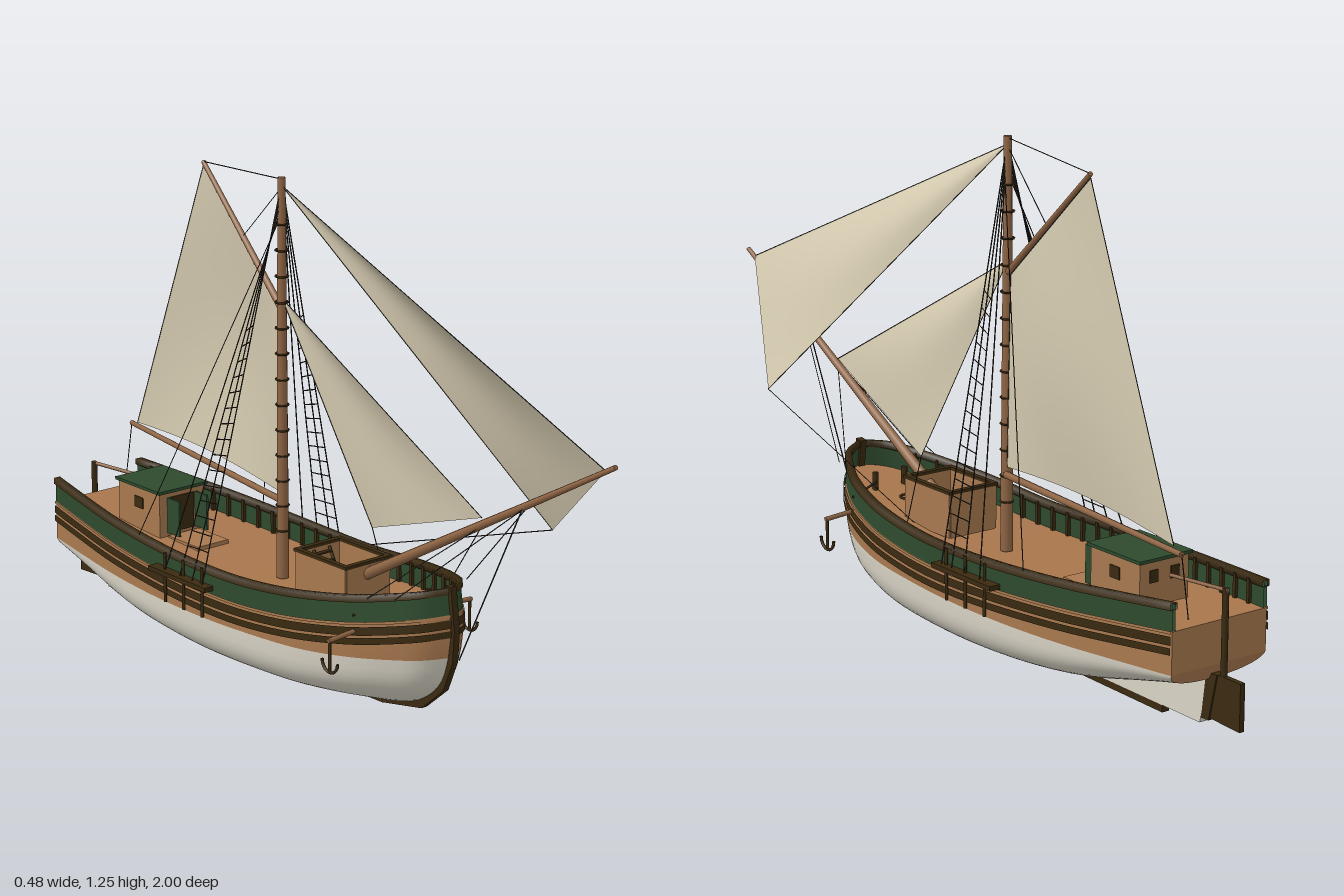
import * as THREE from 'three';

const mat = (name, color, side = THREE.DoubleSide) => {
  const m = new THREE.MeshStandardMaterial({ color, side });
  m.name = name;
  return m;
};
const V = (x, y, z) => new THREE.Vector3(x, y, z);

// Smooth function of one variable through [x, y] points
function spline(pts) {
  const n = pts.length - 1;
  const slope = i => {
    const a = pts[Math.max(i - 1, 0)], b = pts[Math.min(i + 1, n)];
    return (b[1] - a[1]) / (b[0] - a[0]);
  };
  return x => {
    let i = 0;
    while (i < n - 1 && x > pts[i + 1][0]) i++;
    const [x0, y0] = pts[i], [x1, y1] = pts[i + 1], h = x1 - x0;
    const t = Math.min(Math.max((x - x0) / h, 0), 1), s = 1 - t;
    return y0 * (1 + 2 * t) * s * s + slope(i) * h * t * s * s + y1 * t * t * (3 - 2 * t) - slope(i + 1) * h * t * t * s;
  };
}

// Surface from a point function of (s, t)
function grid(fn, ns, nt) {
  const pos = [], idx = [];
  for (let i = 0; i <= ns; i++) for (let j = 0; j <= nt; j++) {
    pos.push(...fn(i / ns, j / nt).toArray());
    if (i < ns && j < nt) {
      const a = i * (nt + 1) + j, b = a + nt + 1;
      idx.push(a, b, a + 1, b, b + 1, a + 1);
    }
  }
  const g = new THREE.BufferGeometry();
  g.setAttribute('position', new THREE.Float32BufferAttribute(pos, 3));
  g.setIndex(idx);
  g.computeVertexNormals();
  return g;
}

export function createModel() {
  const root = new THREE.Group();
  root.name = 'sailingBoat';
  const tan = mat('plankWood', 0xa9794f), deckMat = mat('deckWood', 0xa8764c), green = mat('greenPaint', 0x2e4a2e);
  const dark = mat('darkWood', 0x3a2a10), white = mat('bottomPaint', 0xd9d4c6), cloth = mat('sailCloth', 0xd2c8ae);
  const spar = mat('sparWood', 0x8f6544), rope = mat('rope', 0x2b2721);

  const add = (name, geo, m, parent = root) => {
    const mesh = new THREE.Mesh(geo, m);
    mesh.name = name;
    parent.add(mesh);
    return mesh;
  };
  const rod = (name, a, b, r, m, r2 = r, sides = 6) => {
    const mesh = add(name, new THREE.CylinderGeometry(r2, r, a.distanceTo(b), sides), m);
    mesh.position.copy(a).lerp(b, 0.5);
    mesh.quaternion.setFromUnitVectors(V(0, 1, 0), b.clone().sub(a).normalize());
    return mesh;
  };
  const box = (name, w, h, d, x, y, z, m) => {
    const mesh = add(name, new THREE.BoxGeometry(w, h, d), m);
    mesh.position.set(x, y, z);
    return mesh;
  };
  // Side profile in (z, y), extruded across x
  const slab = (name, pts, width, m) => {
    const s = new THREE.Shape(pts.map(p => new THREE.Vector2(...p)));
    const g = new THREE.ExtrudeGeometry(s, { depth: width, bevelEnabled: false });
    return add(name, g.translate(0, 0, -width / 2).rotateY(-Math.PI / 2), m);
  };

  // Hull lines: u runs from the transom (0) to the stem (1)
  const beam = spline([[0, .14], [.085, .16], [.227, .19], [.37, .207], [.51, .212], [.65, .203], [.76, .187], [.865, .148], [.936, .1], [.975, .06], [1, 0]]);
  const rail = spline([[0, .335], [.25, .31], [.5, .295], [.65, .298], [.85, .33], [1, .37]]);
  const water = spline([[0, .17], [.4, .16], [.75, .17], [1, .2]]);
  const floor = spline([[0, .13], [.1, .1], [.25, .06], [.4, .04], [.6, .03], [1, .03]]);
  const full = spline([[0, 2.2], [.35, 3], [.75, 3], [1, 2.2]]);
  const stemZ = spline([[.03, .25], [.04, .31], [.06, .38], [.12, .455], [.2, .487], [.27, .495], [.37, .482]]);
  const ease = t => 1 - Math.pow(1 - t, 1.7);
  const at = (side, u, h, w) => {
    const z0 = -.92 + Math.max(0, .17 - h(0)) * .5;
    return V(side * w, h(u), z0 + u * (stemZ(h(1)) - z0));
  };
  const below = d => u => rail(u) - d;
  const deckLine = below(.062);
  const band = (name, top, bottom, out, m) => {
    for (const side of [1, -1]) add(name, grid((s, t) => {
      const u = ease(s), h = v => top(v) + (bottom(v) - top(v)) * t;
      return at(side, u, h, Math.max(0, beam(u) + out));
    }, 40, 2), m);
  };
  band('greenBulwark', below(0), deckLine, 0, green);
  band('bulwarkLining', below(0), deckLine, -.009, green);
  band('topPlanking', deckLine, water, 0, tan);
  band('upperWale', below(.072), below(.093), .005, dark);
  band('lowerWale', below(.099), below(.116), .005, dark);
  band('rubbingStrip', below(.06), below(.067), .004, tan);
  const bilge = (u, a) => {
    const e = 2 / full(u), k = 1 - Math.pow(Math.max(0, Math.cos(a)), e);
    return { h: v => floor(v) + (water(v) - floor(v)) * k, w: beam(u) * Math.pow(Math.sin(a), e) };
  };
  for (const side of [1, -1]) {
    add('hullBottom', grid((s, t) => {
      const u = ease(s), b = bilge(u, t * Math.PI / 2);
      return at(side, u, b.h, b.w);
    }, 40, 14), white);
    // Rail cap with a flat top
    add('railCap', grid((s, t) => {
      const u = ease(s), c = [[.006, .012], [.006, -.004], [-.014, -.004], [-.014, .012]][Math.round(t * 4) % 4];
      return at(side, u, below(c[1]), Math.max(0, beam(u) + c[0]));
    }, 40, 4), dark);
    // Bulwark stanchions
    for (let i = 1; i < 24; i++) {
      const u = i / 25, p = at(side, u, below(.032), beam(u) - .013);
      box('stanchion', .009, .06, .009, p.x, p.y, p.z, dark);
    }
  }
  add('deck', grid((s, t) => at(1, ease(s), deckLine, beam(ease(s)) * (2 * t - 1)), 40, 2), deckMat);
  add('transomLower', grid((s, t) => {
    const b = bilge(0, s * Math.PI / 2);
    return at(1, 0, b.h, b.w * (2 * t - 1));
  }, 12, 1), tan);
  add('transomUpper', grid((s, t) => at(1, 0, v => water(v) + (deckLine(v) - water(v)) * s, .14 * (2 * t - 1)), 1, 1), tan);

  // Stem, keel, skeg and rudder
  slab('stem', [[.488, .378], [.502, .27], [.497, .19], [.465, .11], [.39, .045], [.25, .018], [.25, .035], [.37, .065], [.44, .12], [.475, .2], [.48, .27], [.465, .375]], .018, dark);
  slab('keel', [[.25, .036], [.25, .018], [-.74, 0], [-.74, .03]], .02, dark);
  slab('skeg', [[-.2, .045], [-.2, .025], [-.87, .016], [-.9, .16], [-.8, .15]], .02, white);
  slab('sternPost', [[-.875, .03], [-.9, .03], [-.925, .145], [-.89, .145]], .022, dark);
  slab('rudder', [[-.9, .035], [-1, .03], [-1, .145], [-.925, .145]], .014, dark);
  rod('rudderStock', V(0, .1, -.937), V(0, .352, -.937), .008, dark);
  rod('tiller', V(0, .348, -.945), V(.027, .346, -.78), .005, spar);

  // Deckhouse with open doors
  box('deckhouseWalls', .145, .13, .175, 0, .302, -.64, tan);
  box('deckhouseRoof', .158, .008, .19, 0, .37, -.64, green);
  box('doorway', .075, .095, .004, 0, .305, -.551, dark);
  box('companionSlide', .1, .012, .125, 0, .245, -.485, tan);
  for (const x of [-.045, .045]) {
    box('openDoor', .006, .095, .05, x, .305, -.527, green);
    box('aftWindow', .025, .03, .004, x * .7, .33, -.728, dark);
    box('sideWindow', .004, .03, .035, Math.sign(x) * .073, .325, -.64, dark);
  }

  // Cargo hatch coaming with a ladder inside
  for (const s of [1, -1]) {
    box('hatchSide', .01, .115, .185, s * .068, .3, .09, tan);
    box('hatchEnd', .136, .115, .01, 0, .3, .09 + s * .09, tan);
    box('hatchTrimSide', .014, .008, .195, s * .068, .358, .09, dark);
    box('hatchTrimEnd', .146, .008, .014, 0, .358, .09 + s * .09, dark);
    rod('ladderRail', V(s * .025, .25, .065), V(s * .025, .35, .01), .004, dark);
  }
  for (let i = 0; i < 5; i++) box('ladderRung', .05, .004, .012, 0, .26 + i * .02, .06 - i * .011, dark);

  // Foredeck fittings
  add('mooringRing', new THREE.TorusGeometry(.02, .003, 6, 16).rotateX(Math.PI / 2), dark).position.set(0, .272, .27);
  for (const s of [1, -1]) {
    rod('bollard', V(s * .045, .26, .35), V(s * .045, .325, .35), .008, dark);
    rod('cathead', V(s * .14, .252, .305), V(s * .23, .245, .305), .006, spar);
    rod('anchorShank', V(s * .225, .25, .305), V(s * .225, .165, .305), .004, dark);
    const arms = add('anchorArms', new THREE.TorusGeometry(.028, .004, 6, 10, Math.PI), dark);
    arms.position.set(s * .225, .193, .305);
    arms.rotation.set(Math.PI, Math.PI / 2, 0);
    rod('anchorCable', V(s * .15, .29, .3), V(s * .045, .3, .345), .003, rope);
  }

  // Spars
  rod('mast', V(0, .235, -.14), V(0, 1.255, -.14), .016, spar, .01, 12);
  rod('bowsprit', V(0, .3, .13), V(0, .79, 1), .015, spar, .006, 10);
  rod('boom', V(.01, .43, -.15), V(.112, .445, -.915), .009, spar, .007, 8);
  rod('gaff', V(.004, .93, -.15), V(.06, 1.228, -.522), .009, spar, .006, 8);
  for (let i = 0; i < 13; i++) {
    const hoop = add('mastHoop', new THREE.TorusGeometry(.016, .0025, 5, 12).rotateX(Math.PI / 2), dark);
    hoop.position.set(0, .36 + i * .065, -.14);
  }

  // Sails: four corners (two may coincide), a belly and an arched foot
  const line = (a, b, r = .0013) => rod('riggingLine', a, b, r, rope, r, 4);
  const sail = (name, c, belly, arch) => {
    add(name, grid((s, t) => {
      const p = c[0].clone().lerp(c[1], s).lerp(c[3].clone().lerp(c[2], s), t);
      p.x += belly * Math.sin(Math.PI * s) * Math.sin(Math.PI * t);
      p.y += arch * Math.sin(Math.PI * s) * (1 - t);
      return p;
    }, 16, 16), cloth);
    for (const i of [1, 2, 3]) if (c[i].distanceTo(c[(i + 1) % 4]) > .01) line(c[i], c[(i + 1) % 4]);
  };
  const mastTop = V(0, 1.235, -.14), jibClew = V(.19, .51, .62), stayClew = V(.06, .42, .13);
  sail('mainsail', [V(.01, .45, -.155), V(.105, .455, -.88), V(.058, 1.218, -.52), V(.004, .925, -.158)], .025, .018);
  sail('jib', [V(0, .775, .97), jibClew, mastTop, mastTop], .03, 0);
  sail('staysail', [V(0, .57, .58), stayClew, V(0, .955, -.14), V(0, .955, -.14)], .02, 0);

  // Standing and running rigging
  const feet = [-.18, -.22, -.27, -.33, -.47];
  for (const s of [1, -1]) {
    box('channel', .03, .012, .23, s * .223, .248, -.27, dark);
    for (const z of [-.19, -.265, -.34]) rod('chainPlate', V(s * .219, .165, z), V(s * .219, .295, z), .004, dark);
    const lower = feet.map((z, i) => V(s * (i < 4 ? .226 : .205), i < 4 ? .255 : .3, z));
    const upper = feet.map((z, i) => V(s * .008, 1.21 - .015 * i, -.14));
    feet.forEach((z, i) => line(lower[i], upper[i], i < 4 ? .002 : .0015));
    for (let k = 1; k < 17; k++) {
      const f = k * .042;
      line(lower[0].clone().lerp(upper[0], f), lower[2].clone().lerp(upper[2], f), .0015);
    }
    line(V(s * .115, .35, .41), V(0, .64, .735));
    line(V(s * .14, .34, .34), V(0, .55, .58));
  }
  line(V(0, .2, .51), V(0, .62, .71), .002);
  line(V(0, 1.25, -.14), V(.06, 1.228, -.522));
  line(V(0, 1.23, -.14), V(.03, 1.07, -.33));
  line(V(.112, .445, -.915), V(.05, .27, -.87));
  line(jibClew, V(.19, .31, -.02));
  line(stayClew, V(.16, .29, .05));
  return root;
}
